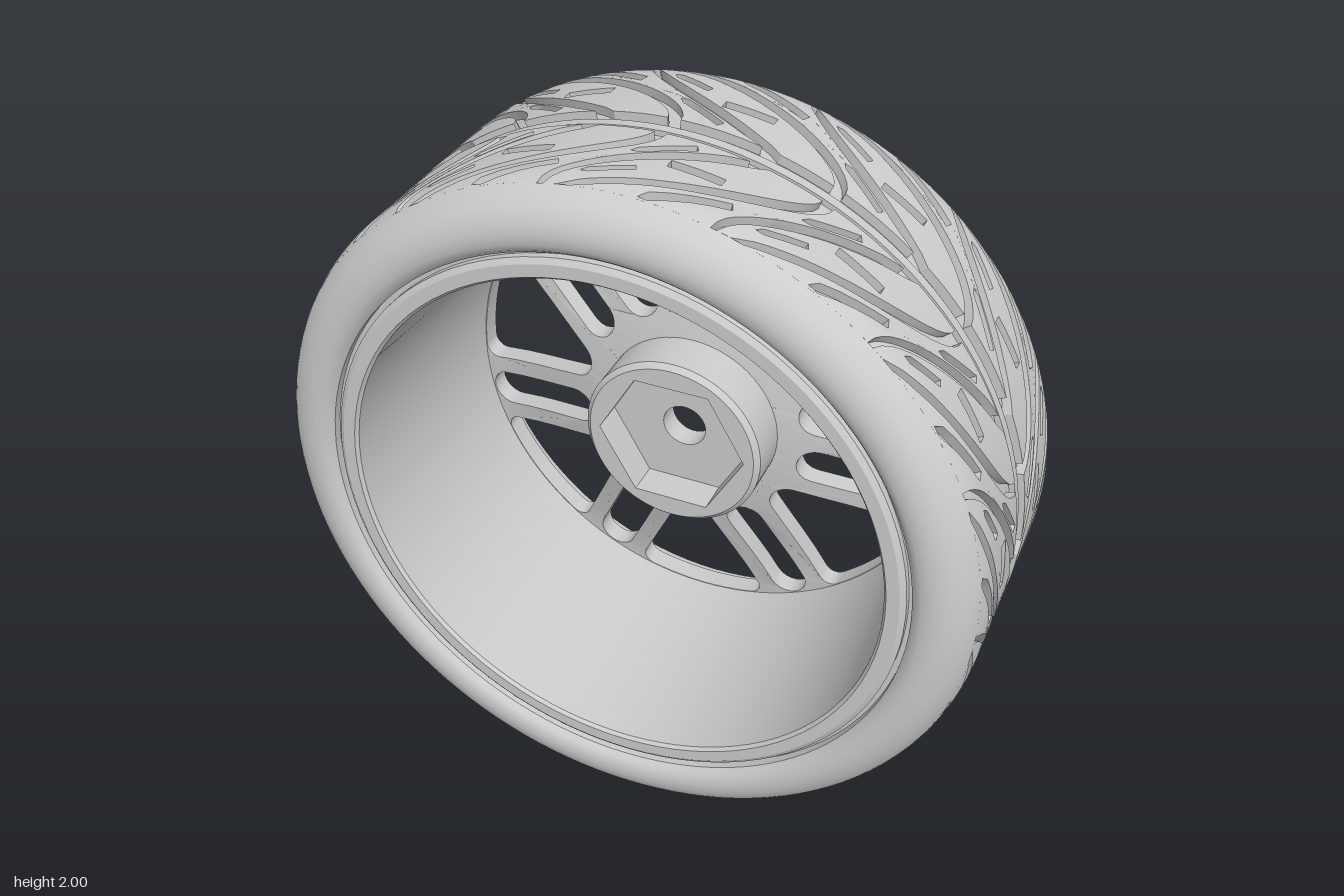
import * as THREE from 'three';
import { toCreasedNormals } from 'three/addons/utils/BufferGeometryUtils.js';

const material = new THREE.MeshStandardMaterial({ color: 0xcccccc });
const V2 = (x, y) => new THREE.Vector2(x, y);
const TAU = Math.PI * 2;

function add(parent, name, geometry) {
  const mesh = new THREE.Mesh(geometry, material);
  mesh.name = name;
  parent.add(mesh);
  return mesh;
}

// Closed [radius, z] profile spun around the wheel axle
function spin(profile, segments = 96) {
  const points = [...profile, profile[0]].map(([r, z]) => V2(r, z));
  return toCreasedNormals(new THREE.LatheGeometry(points, segments).rotateX(Math.PI / 2), 0.5);
}

function extrude(shape, depth, z = 0) {
  const g = new THREE.ExtrudeGeometry(shape, { depth, bevelEnabled: false, curveSegments: 32 });
  return g.translate(0, 0, z);
}

// Split long edges, then move every vertex by a rule
function bend(geometry, maxEdge, rule, flip = false) {
  const pos = (geometry.index ? geometry.toNonIndexed() : geometry).attributes.position;
  const out = [], stack = [];
  for (let i = 0; i < pos.count; i += 3) {
    stack.push([0, 1, 2].map(k => new THREE.Vector3().fromBufferAttribute(pos, i + k)));
  }
  while (stack.length) {
    const t = stack.pop();
    const len = [0, 1, 2].map(k => t[k].distanceToSquared(t[(k + 1) % 3]));
    const k = len.indexOf(Math.max(...len));
    if (len[k] > maxEdge * maxEdge) {
      const a = t[k], b = t[(k + 1) % 3], c = t[(k + 2) % 3];
      const m = a.clone().add(b).multiplyScalar(0.5);
      stack.push([a, m, c], [m, b, c]);
    } else {
      for (const v of flip ? [t[0], t[2], t[1]] : t) out.push(...rule(v));
    }
  }
  const g = new THREE.BufferGeometry();
  g.setAttribute('position', new THREE.Float32BufferAttribute(out, 3));
  return toCreasedNormals(g, 0.5);
}

// ---- Tyre ----
const TREAD_IN = 0.04, TREAD_OUT = 0.335, PITCHES = 14, PITCH = TAU / PITCHES;

// Crown radius across the width, with a rounded shoulder
function crown(z) {
  const s = Math.max(0, (Math.abs(z) - 0.27) / 0.14);
  return 0.88 + 0.12 * Math.sqrt(Math.max(0, 1 - s * s));
}

function tyreGeometry() {
  const half = [[0.99, 0.015], [0.975, 0.015], [0.975, 0.27]];
  for (const z of [0.29, 0.31, TREAD_OUT]) half.push([crown(z) - 0.025, z]);
  for (let i = 0; i <= 9; i++) {
    const t = 0.483 + (Math.PI / 2 - 0.483) * i / 9;
    half.push([0.88 + 0.12 * Math.cos(t), 0.27 + 0.14 * Math.sin(t)]);
  }
  half.push([0.86, 0.408], [0.842, 0.4], [0.83, 0.385], [0.83, 0.36], [0.79, 0.36]);
  return spin([...half.map(([r, z]) => [r, -z]).reverse(), ...half], 120);
}

// Two sweeping groove lines; t runs from the centre (0) to the shoulder (1)
const lowerLine = t => 0.06 + 0.57 * (1 - t ** 1.8);
const upperLine = t => 0.44 * (1 - t) ** 1.46;

// One edge of a tapered groove that follows a line
function grooveEdge(line, side, shift = 0) {
  const points = [], n = 14, span = TREAD_OUT - TREAD_IN;
  for (let i = 0; i <= n; i++) {
    const t = i / n, e = 0.01;
    const slope = (line(Math.min(1, t + e)) - line(Math.max(0, t - e))) / (2 * e * span);
    const w = 0.017 * Math.hypot(1, slope) * (1 - 0.5 * t ** 3);
    points.push(V2(line(t) + shift + side * w, TREAD_IN + span * t));
  }
  return points;
}

// Straight slot with pointed outer end
function slot(u0, z0, u1, z1, w) {
  const d = V2(u1 - u0, z1 - z0).normalize().multiplyScalar(w);
  return new THREE.Path([V2(u0, z0), V2(u0 + d.x * 2 - d.y, z0 + d.y * 2 + d.x),
    V2(u1 - d.y, z1 + d.x), V2(u1 + d.y, z1 - d.x), V2(u0 + d.x * 2 + d.y, z0 + d.y * 2 - d.x)]);
}

function treadShapes() {
  const leaf = new THREE.Shape([...grooveEdge(lowerLine, -1), ...grooveEdge(upperLine, 1).reverse()]);
  leaf.holes.push(new THREE.Path([V2(0.26, 0.155), V2(0.4, 0.155), V2(0.4, 0.185), V2(0.26, 0.185)]));
  leaf.holes.push(slot(0.08, 0.28, 0.2, 0.225, 0.01));
  const link = new THREE.Shape([...grooveEdge(upperLine, -1, PITCH), ...grooveEdge(lowerLine, 1).reverse()]);
  link.holes.push(slot(0.25, 0.328, 0.455, 0.245, 0.013));
  link.holes.push(slot(0.6, 0.152, 0.74, 0.07, 0.011));
  return { leaf, link };
}

function addTread(wheel) {
  const tread = new THREE.Group();
  tread.name = 'tread';
  wheel.add(tread);
  const depth = 0.032, start = -0.85;
  for (const [kind, shape] of Object.entries(treadShapes())) {
    for (const side of [1, -1]) {
      const wrap = v => {
        const r = crown(v.y) - depth + v.z, a = -(v.x + start);
        return [r * Math.cos(a), r * Math.sin(a), side * v.y];
      };
      const block = bend(extrude(shape, depth), 0.06, wrap, side > 0);
      for (let k = 0; k < PITCHES; k++) {
        add(tread, kind + 'TreadBlock', block).rotation.z = -k * PITCH;
      }
    }
  }
}

// ---- Spoked disc ----
const SPOKES = 7, WINDOW_R = 0.722;

// Large window between two spoke pairs, drawn around the direction `mid`
function windowPath(mid) {
  const h = Math.PI / SPOKES, edge = 0.11, inner = 0.33, c = 0.035;
  const d = (inner - edge) / (1 - Math.sin(h)), rho = d - inner;
  const local = [];
  const arc = (x, y, r, a0, a1, n) => {
    for (let i = 0; i <= n; i++) {
      const a = a0 + (a1 - a0) * i / n;
      local.push(V2(x + r * Math.cos(a), y + r * Math.sin(a)));
    }
  };
  const corner = h - Math.asin((edge + c) / (WINDOW_R - c));
  const cx = (WINDOW_R - c) * Math.cos(corner), cy = (WINDOW_R - c) * Math.sin(corner);
  arc(d, 0, rho, h + Math.PI / 2, 1.5 * Math.PI - h, 12);
  arc(cx, -cy, c, -h - Math.PI / 2, -corner, 6);
  arc(0, 0, WINDOW_R, -corner * 0.95, corner * 0.95, 14);
  arc(cx, cy, c, corner, h + Math.PI / 2, 6);
  return new THREE.Path(local.map(p => p.rotateAround(V2(0, 0), mid)));
}

// Round-ended slot that divides a spoke into two bars
function spokeSlot(angle) {
  const w = 0.056, points = [];
  for (let i = 0; i <= 20; i++) {
    const outer = i <= 10, a = -Math.PI / 2 + Math.PI * (outer ? i / 10 : (i - 1) / 9 * 1.0);
    const b = outer ? a : Math.PI / 2 + Math.PI * (i - 11) / 9;
    points.push(V2((outer ? 0.72 - w : 0.33 + w) + w * Math.cos(b), w * Math.sin(b)));
  }
  return new THREE.Path(points.map(p => p.rotateAround(V2(0, 0), angle)));
}

const circle = r => new THREE.Path().absarc(0, 0, r, 0, TAU, true);

function disc(r, ...holes) {
  const shape = new THREE.Shape().absarc(0, 0, r, 0, TAU, false);
  shape.holes.push(...holes);
  return shape;
}

function spokesGeometry() {
  const holes = [circle(0.14)];
  for (let k = 0; k < SPOKES; k++) {
    const a = Math.PI / 2 + k * TAU / SPOKES;
    holes.push(spokeSlot(a), windowPath(a + Math.PI / SPOKES));
  }
  // Dished: the hub sits deeper than the rim
  const dish = v => {
    const s = THREE.MathUtils.smoothstep(Math.hypot(v.x, v.y), 0.15, 0.78);
    return [v.x, v.y, -0.225 - 0.12 * s + v.z];
  };
  return bend(extrude(disc(0.745, ...holes), 0.06), 0.1, dish);
}

export function createModel() {
  const model = new THREE.Group();
  model.name = 'wheel';
  const wheel = new THREE.Group();
  wheel.name = 'wheelAssembly';
  wheel.position.y = 1;
  model.add(wheel);

  add(wheel, 'tyre', tyreGeometry());
  addTread(wheel);

  // Rim barrel with a flange at each end
  add(wheel, 'rim', spin([
    [0.722, -0.335], [0.748, -0.345], [0.757, -0.39], [0.8, -0.39], [0.815, -0.38], [0.815, -0.34],
    [0.79, -0.34], [0.79, 0.34], [0.815, 0.34], [0.815, 0.38], [0.8, 0.39], [0.765, 0.39], [0.757, 0.38],
  ]));
  add(wheel, 'spokes', spokesGeometry());

  // Hub: bored base, hexagonal socket and chamfered collar
  add(wheel, 'hubBase', toCreasedNormals(extrude(disc(0.25, circle(0.065)), 0.07, -0.2), 0.5));
  const hexagon = new THREE.Path(Array.from({ length: 6 }, (_, i) =>
    V2(0.22 * Math.cos(i * TAU / 6), 0.22 * Math.sin(i * TAU / 6))));
  add(wheel, 'hexSocket', toCreasedNormals(extrude(disc(0.25, hexagon), 0.105, -0.135), 0.5));
  add(wheel, 'hubCollar', spin([[0.24, -0.2], [0.265, -0.2], [0.265, -0.045], [0.25, -0.03], [0.24, -0.03]], 64));
  return model;
}
